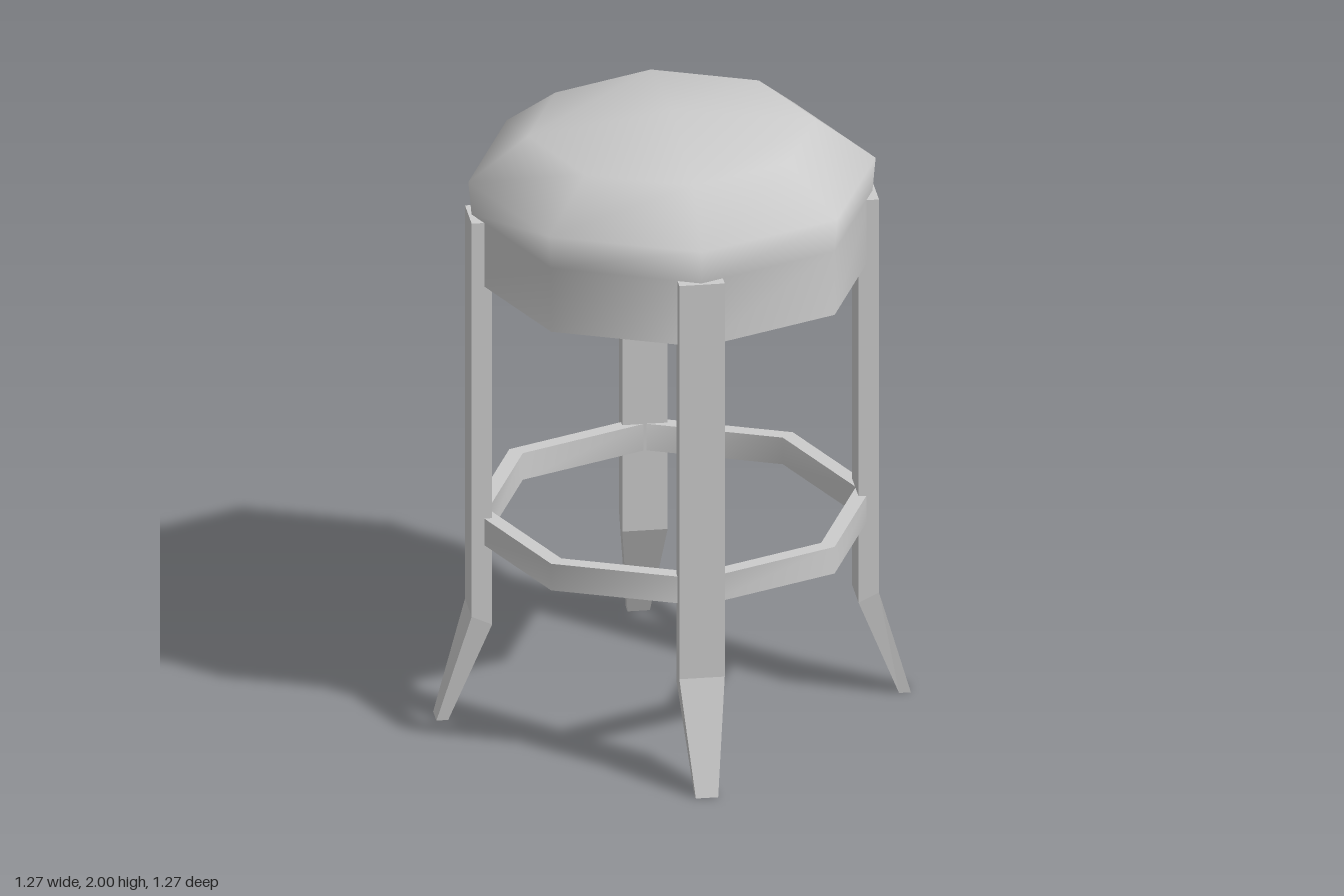
import * as THREE from 'three';
import { mergeGeometries } from 'three/addons/utils/BufferGeometryUtils.js';

const SIDES = 8;
const material = new THREE.MeshStandardMaterial({ color: 0xcccccc });
const flatMaterial = new THREE.MeshStandardMaterial({ color: 0xcccccc, flatShading: true });

// Skin between stacked loops of [x, y, z] points (loops run from +z towards +x, upwards).
function loft(loops, extraFaces = [], extraPoints = []) {
  const n = loops[0].length;
  const index = [];
  for (let j = 0; j < loops.length - 1; j++) {
    for (let i = 0; i < n; i++) {
      const a = j * n + i, b = j * n + (i + 1) % n;
      index.push(a, b, b + n, a, b + n, a + n);
    }
  }
  const geometry = new THREE.BufferGeometry();
  const points = [...loops.flat(), ...extraPoints];
  geometry.setAttribute('position', new THREE.Float32BufferAttribute(points.flat(), 3));
  geometry.setIndex([...index, ...extraFaces]);
  geometry.computeVertexNormals();
  return geometry;
}

// Eight-sided loop with corners on the axes.
function octagon(radius, y) {
  return Array.from({ length: SIDES }, (_, i) => {
    const a = (i / SIDES) * Math.PI * 2;
    return [radius * Math.sin(a), y, radius * Math.cos(a)];
  });
}

function mesh(name, geometry, mat = material) {
  const m = new THREE.Mesh(geometry, mat);
  m.name = name;
  return m;
}

// Padded seat: wall, bulging rim, sloped shoulder and a low peak.
function createSeat() {
  const seat = new THREE.Group();
  seat.name = 'seat';
  const profile = [[0.627, 1.475], [0.627, 1.69], [0.637, 1.8], [0.45, 1.943]];
  const first = (profile.length - 1) * SIDES;
  const apex = profile.length * SIDES;
  const faces = [];
  // The peak fans to six corners; the two side corners stay level.
  const fan = [0, 1, 3, 4, 5, 7];
  fan.forEach((c, i) => faces.push(first + c, first + fan[(i + 1) % fan.length], apex));
  for (const c of [1, 5]) faces.push(first + c, first + c + 1, first + c + 2);
  seat.add(mesh('cushion', loft(profile.map(([r, y]) => octagon(r, y)), faces, [[0, 2, 0]])));

  const underside = mesh('seatUnderside', new THREE.CircleGeometry(0.627, SIDES));
  underside.rotation.x = Math.PI / 2;
  underside.position.y = 1.475;
  seat.add(underside);
  return seat;
}

// Foot ring: four strips kept separate so the band edges stay sharp.
function createFootRing() {
  const section = [[0.627, 0.6], [0.627, 0.69], [0.575, 0.69], [0.575, 0.6]];
  const strips = section.map((p, i) => loft([p, section[(i + 1) % 4]].map(([r, y]) => octagon(r, y))));
  return mesh('footRing', mergeGeometries(strips));
}

// Leg: straight post that kicks outward and tapers to a small foot.
function createLegGeometry() {
  const loop = (w, outer, inner, yOuter, yInner) => [
    [-w, yOuter, outer], [w, yOuter, outer], [w, yInner, inner], [-w, yInner, inner],
  ];
  const loops = [
    loop(0.035, 0.742, 0.705, 0, 0),
    loop(0.071, 0.637, 0.573, 0.36, 0.33),
    loop(0.071, 0.637, 0.573, 1.69, 1.69),
  ];
  return loft(loops, [0, 2, 1, 0, 3, 2, 8, 9, 10, 8, 10, 11]);
}

export function createModel() {
  const stool = new THREE.Group();
  stool.name = 'stool';
  stool.add(createSeat(), createFootRing());

  const legGeometry = createLegGeometry();
  ['frontLeftLeg', 'backLeftLeg', 'backRightLeg', 'frontRightLeg'].forEach((name, i) => {
    const leg = mesh(name, legGeometry, flatMaterial);
    leg.rotation.y = Math.PI / 4 + (i * Math.PI) / 2;
    stool.add(leg);
  });
  return stool;
}
